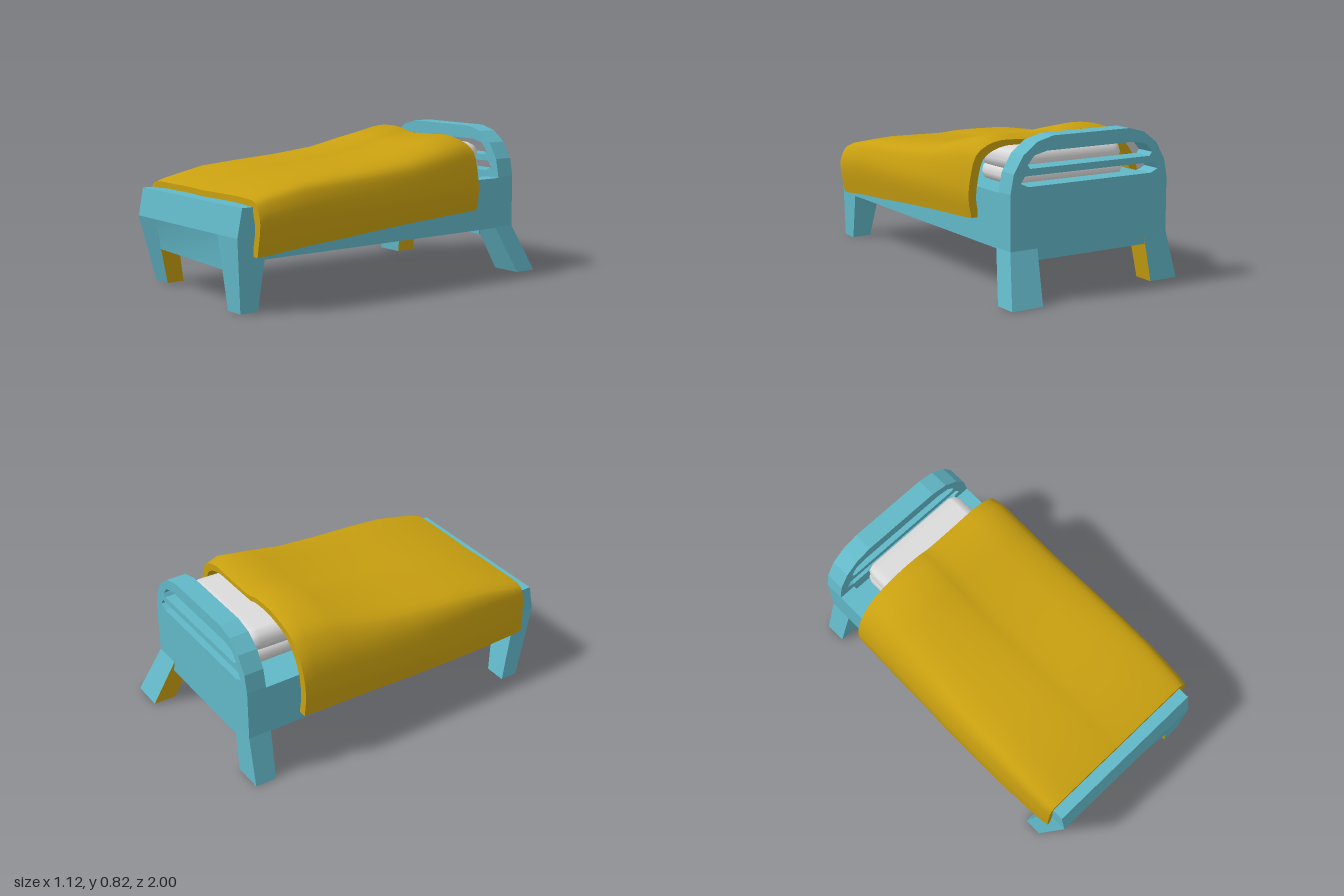
import * as THREE from 'three';
import { toCreasedNormals } from 'three/addons/utils/BufferGeometryUtils.js';
import { RoundedBoxGeometry } from 'three/addons/geometries/RoundedBoxGeometry.js';

const material = (name, color) => {
  const m = new THREE.MeshStandardMaterial({ color });
  m.name = name;
  return m;
};

export function createModel() {
  const bed = new THREE.Group();
  bed.name = 'bed';
  const teal = material('tealWood', 0x62b8c8);
  const ochre = material('ochreCloth', 0xc9a010);
  const white = material('whiteLinen', 0xdcdcdc);
  const X0 = -0.495, X1 = 0.475;

  const add = (name, geometry, mat) => {
    const mesh = new THREE.Mesh(geometry, mat);
    mesh.name = name;
    bed.add(mesh);
    return mesh;
  };
  // Box from its limits; bottom = [x0, x1, z0, z1, z1 at x0] moves the lower four corners
  const block = (name, [x0, x1], [y0, y1], [z0, z1], mat, bottom = [x0, x1, z0, z1]) => {
    const g = new THREE.BoxGeometry(1, 1, 1);
    const p = g.attributes.position;
    for (let i = 0; i < p.count; i++) {
      const low = p.getY(i) < 0, atX0 = p.getX(i) < 0;
      const [a, b, back, front, frontX0 = front] = low ? bottom : [x0, x1, z0, z1];
      p.setXYZ(i, atX0 ? a : b, low ? y0 : y1, p.getZ(i) < 0 ? back : atX0 ? frontX0 : front);
    }
    g.computeVertexNormals();
    return add(name, g, mat);
  };
  // Teal box material list with one ochre face (0 +x, 1 -x, 3 underside)
  const oneOchre = (face) => Array.from({ length: 6 }, (_, i) => (i === face ? ochre : teal));

  // Bed base and side rails
  block('base', [X0, X1], [0.26, 0.49], [-0.78, 0.88], teal);
  block('rightRail', [X0, X0 + 0.1], [0.48, 0.545], [-0.78, 0.3], teal);
  block('leftRail', [X1 - 0.1, X1], [0.48, 0.545], [-0.78, 0.3], teal);

  // Headboard with rounded top corners and two slots
  const cx = (X0 + X1) / 2;
  const arch = [[0.485, 0.26], [0.485, 0.55], [0.465, 0.65], [0.41, 0.74], [0.33, 0.8], [0.235, 0.825]];
  const upperSlot = [[0.37, 0.67], [0.385, 0.69], [0.345, 0.735], [0.27, 0.752]];
  const lowerSlot = [[0.38, 0.58], [0.425, 0.6], [0.4, 0.635]];
  const symmetric = (half) => [...half, ...half.map(([x, y]) => [-x, y]).reverse()]
    .map(([x, y]) => new THREE.Vector2(x + cx, y));
  const board = new THREE.Shape(symmetric(arch));
  for (const s of [upperSlot, lowerSlot]) board.holes.push(new THREE.Path(symmetric(s)));
  const headGeo = new THREE.ExtrudeGeometry(board, { depth: 0.11, bevelEnabled: false });
  headGeo.translate(0, 0, -0.88);
  add('headboard', headGeo, teal);
  block('headApron', [-0.37, 0.33], [0.205, 0.27], [-0.88, -0.765], oneOchre(3));

  // Footboard: upper part sloping forward, lower panel slanting back between the legs
  block('footboard', [X0, X1], [0.38, 0.53], [0.85, 0.97], teal, [X0, X1, 0.85, 1]);
  block('footPanel', [-0.32, 0.297], [0.205, 0.38], [0.86, 1], oneOchre(3), [-0.368, 0.328, 0.84, 0.992, 0.94]);

  // Crooked legs, ochre on the inner faces
  block('frontRightLeg', [X0, -0.318], [0, 0.38], [0.875, 1], oneOchre(0), [-0.545, -0.42, 0.77, 0.87]);
  block('frontLeftLeg', [0.295, X1], [0, 0.38], [0.82, 1], oneOchre(1), [0.36, 0.472, 0.88, 0.985]);
  block('backRightLeg', [X0, -0.35], [0, 0.265], [-0.88, -0.75], oneOchre(0), [-0.565, -0.395, -0.89, -0.77]);
  block('backLeftLeg', [0.315, X1], [0, 0.265], [-0.88, -0.75], oneOchre(1), [0.36, 0.54, -1, -0.87]);

  // Two stacked pillows
  const pillow = (name, y, z, tilt, h) => {
    const m = add(name, new RoundedBoxGeometry(0.68, h, 0.36, 1, h * 0.48), white);
    m.position.set(0.02, y, z);
    m.rotation.x = tilt;
  };
  pillow('lowerPillow', 0.595, -0.57, 0, 0.1);
  pillow('upperPillow', 0.677, -0.565, 0.03, 0.125);

  // Blanket: cross-sections (x as part of half width, y from hem to top) blended head to foot
  const head = [[-0.97, 0], [-1, 0.3], [-0.95, 0.58], [-0.86, 0.76], [-0.73, 0.9], [-0.43, 1.0], [-0.14, 1.0],
    [0, 0.95], [0.35, 0.95], [0.66, 0.95], [0.86, 0.81], [0.93, 0.52], [0.95, 0.25], [0.92, 0]];
  const foot = [[-1, 0], [-1, 0.3], [-0.99, 0.6], [-0.97, 0.84], [-0.92, 0.96], [-0.5, 1], [-0.15, 1],
    [0, 0.99], [0.35, 1], [0.7, 1], [0.92, 0.96], [0.98, 0.84], [1.02, 0.6], [0.97, 0]];
  // z, hem on the +x side, top, half width
  const stations = [[-0.57, 0.385, 0.785, 0.555], [-0.5, 0.38, 0.812, 0.557], [-0.3, 0.37, 0.766, 0.557],
    [-0.1, 0.36, 0.716, 0.557], [0.15, 0.345, 0.682, 0.56], [0.4, 0.325, 0.66, 0.557],
    [0.62, 0.31, 0.638, 0.55], [0.85, 0.285, 0.585, 0.535], [0.905, 0.28, 0.567, 0.525]];
  const N = 40, ring = 2 * (N + 1), pos = [], idx = [];
  for (const [z, hemLeft, top, half] of stations) {
    const t = (z + 0.57) / 1.475;
    const hemRight = 0.305 - 0.025 * t;
    const curve = new THREE.CatmullRomCurve3(head.map(([u, v], i) => {
      const hem = u < 0 ? hemRight : hemLeft;
      return new THREE.Vector3(
        THREE.MathUtils.lerp(u, foot[i][0], t) * half,
        THREE.MathUtils.lerp(hem, top, THREE.MathUtils.lerp(v, foot[i][1], t)), 0);
    }));
    const pts = curve.getPoints(N);
    for (const p of pts) pos.push(p.x, p.y, z);
    // Inner side of the cloth, thinning to nothing at the hem
    for (const p of pts.reverse()) {
      const hem = p.x < 0 ? hemRight : hemLeft;
      pos.push(p.x * 0.915, p.y - 0.032 * (p.y - hem) / (top - hem), z);
    }
  }
  const quad = (a, b, c, d) => idx.push(a, b, c, a, c, d);
  const last = stations.length - 1;
  for (let k = 0; k < last; k++) {
    for (let i = 0; i < ring; i++) {
      const j = (i + 1) % ring, a = k * ring, b = a + ring;
      quad(a + i, b + i, b + j, a + j);
    }
  }
  for (let i = 0; i < N; i++) {
    const e = last * ring, q = ring - 1 - i;
    quad(i, i + 1, q - 1, q);
    quad(e + i, e + q, e + q - 1, e + i + 1);
  }
  const cloth = new THREE.BufferGeometry();
  cloth.setAttribute('position', new THREE.Float32BufferAttribute(pos, 3));
  cloth.setIndex(idx);
  add('blanket', toCreasedNormals(cloth, 0.7), ochre);

  return bed;
}
